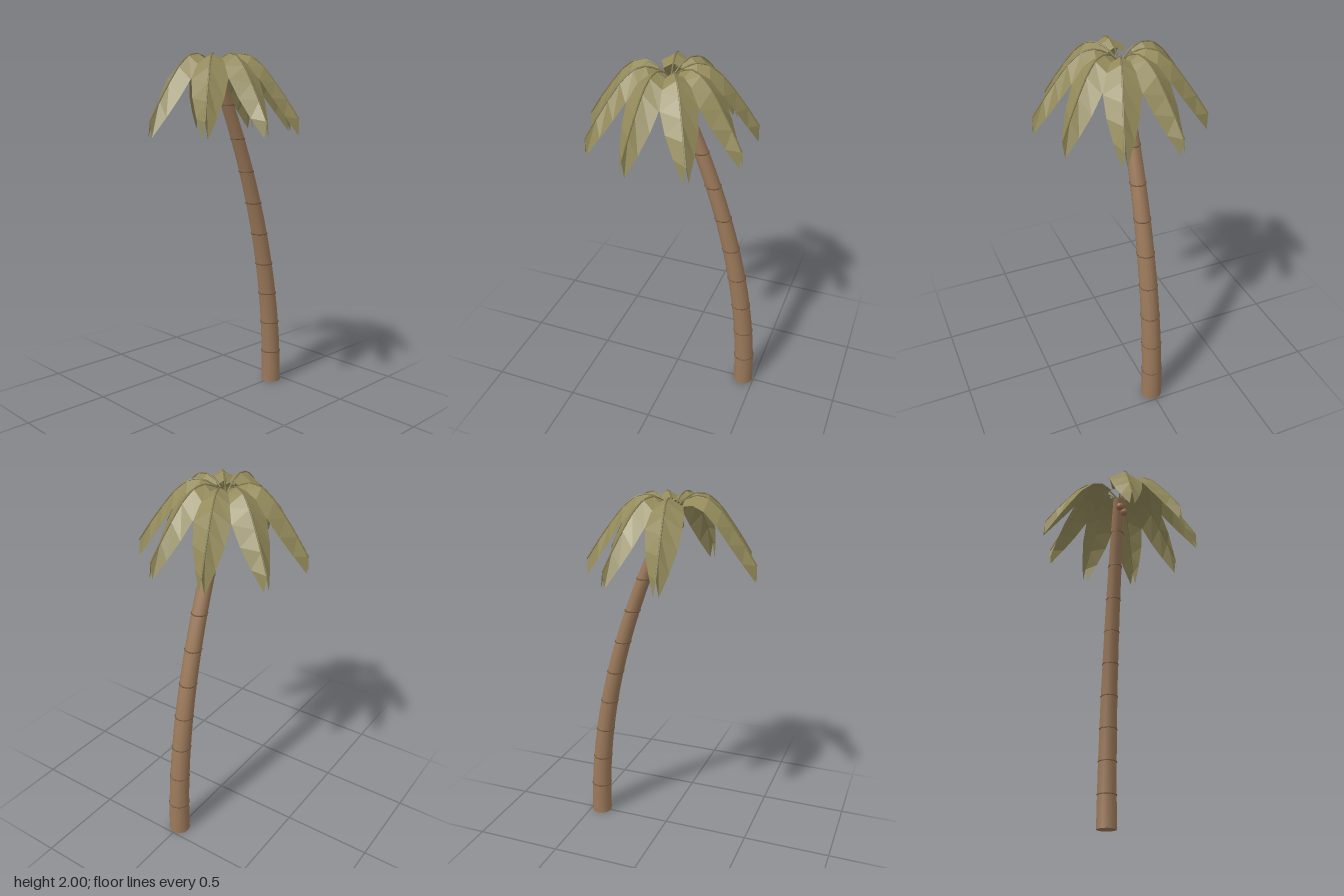
import * as THREE from 'three';

const mat = (name, color, extra = {}) => {
  const m = new THREE.MeshStandardMaterial({ color, ...extra });
  m.name = name;
  return m;
};

const HEIGHT = 1.91;
const trunkX = (y) => 0.435 - 0.475 * (y / HEIGHT) ** 2;
const trunkRadius = (y) => 0.06 - 0.024 * (y / HEIGHT);

// Frond stations: distance from crown, ridge height, half width, edge drop
const STATIONS = [
  [0.065, 1.97, 0.05, 0.03],
  [0.13, 1.996, 0.075, 0.042],
  [0.195, 1.984, 0.09, 0.055],
  [0.265, 1.927, 0.094, 0.066],
  [0.33, 1.845, 0.081, 0.077],
  [0.395, 1.755, 0.052, 0.085],
  [0.46, 1.655, 0.014, 0.085],
];

// Bent, tapered trunk with horizontal sections
function trunkGeometry() {
  const geo = new THREE.CylinderGeometry(trunkRadius(HEIGHT), trunkRadius(0), HEIGHT, 12, 20);
  geo.translate(0, HEIGHT / 2, 0);
  const p = geo.attributes.position;
  const n = geo.attributes.normal;
  const v = new THREE.Vector3();
  for (let i = 0; i < p.count; i++) {
    const y = p.getY(i);
    p.setX(i, p.getX(i) + trunkX(y));
    const slope = (-0.95 * y) / HEIGHT ** 2;
    v.fromBufferAttribute(n, i);
    v.y -= slope * v.x;
    v.normalize();
    n.setXYZ(i, v.x, v.y, v.z);
  }
  return geo;
}

// Folded leaf: left edge, ridge and right edge at every station
function bladeGeometry() {
  const pos = [];
  const index = [];
  STATIONS.forEach(([r, y, w, drop], i) => {
    pos.push(r, y - drop, -w, r, y, 0, r, y - drop, w);
    if (i === 0) return;
    for (let j = 0; j < 2; j++) {
      const a = (i - 1) * 3 + j;
      const b = a + 3;
      index.push(a, a + 1, b, a + 1, b + 1, b);
    }
  });
  const geo = new THREE.BufferGeometry();
  geo.setAttribute('position', new THREE.Float32BufferAttribute(pos, 3));
  geo.setIndex(index);
  const flat = geo.toNonIndexed();
  flat.computeVertexNormals();
  return flat;
}

// Thin rib along the ridge, running back to the crown
function ribGeometry() {
  const points = [new THREE.Vector3(0, 1.91, 0)];
  STATIONS.forEach(([r, y]) => points.push(new THREE.Vector3(r, y - 0.001, 0)));
  return new THREE.TubeGeometry(new THREE.CatmullRomCurve3(points), 16, 0.0045, 5);
}

export function createModel() {
  const bark = mat('bark brown', 0x9b795a);
  const ringMat = mat('ring brown', 0x735840);
  const leaf = mat('olive leaf', 0x92895a, { side: THREE.DoubleSide });
  const ribMat = mat('olive rib', 0x827a4e);
  const nut = mat('coconut brown', 0x966c4d);

  const palm = new THREE.Group();
  palm.name = 'palmTree';
  const add = (parent, name, geo, material) => {
    const mesh = new THREE.Mesh(geo, material);
    mesh.name = name;
    parent.add(mesh);
    return mesh;
  };

  add(palm, 'trunk', trunkGeometry(), bark);

  // Growth rings
  for (let k = 1; k <= 9; k++) {
    const y = 0.195 + (k - 1) * 0.1912;
    const geo = new THREE.TorusGeometry(trunkRadius(y), 0.004, 5, 12);
    geo.rotateX(Math.PI / 2);
    add(palm, 'trunkRing', geo, ringMat).position.set(trunkX(y), y, 0);
  }

  // Eight fronds at 40 degree steps, leaving one gap at the back right
  const crown = new THREE.Group();
  crown.name = 'crown';
  crown.position.x = -0.04;
  palm.add(crown);
  const blade = bladeGeometry();
  const rib = ribGeometry();
  for (let k = 0; k < 8; k++) {
    const frond = new THREE.Group();
    frond.name = 'frond';
    frond.rotation.y = THREE.MathUtils.degToRad(180 + 40 * k);
    add(frond, 'frondBlade', blade, leaf);
    add(frond, 'frondRib', rib, ribMat);
    crown.add(frond);
  }

  // Coconuts under the crown
  const nutGeo = new THREE.SphereGeometry(0.024, 12, 8);
  for (const [x, y, z] of [[-0.077, 1.84, 0], [-0.037, 1.83, 0.03]]) {
    add(palm, 'coconut', nutGeo, nut).position.set(x, y, z);
  }
  return palm;
}
